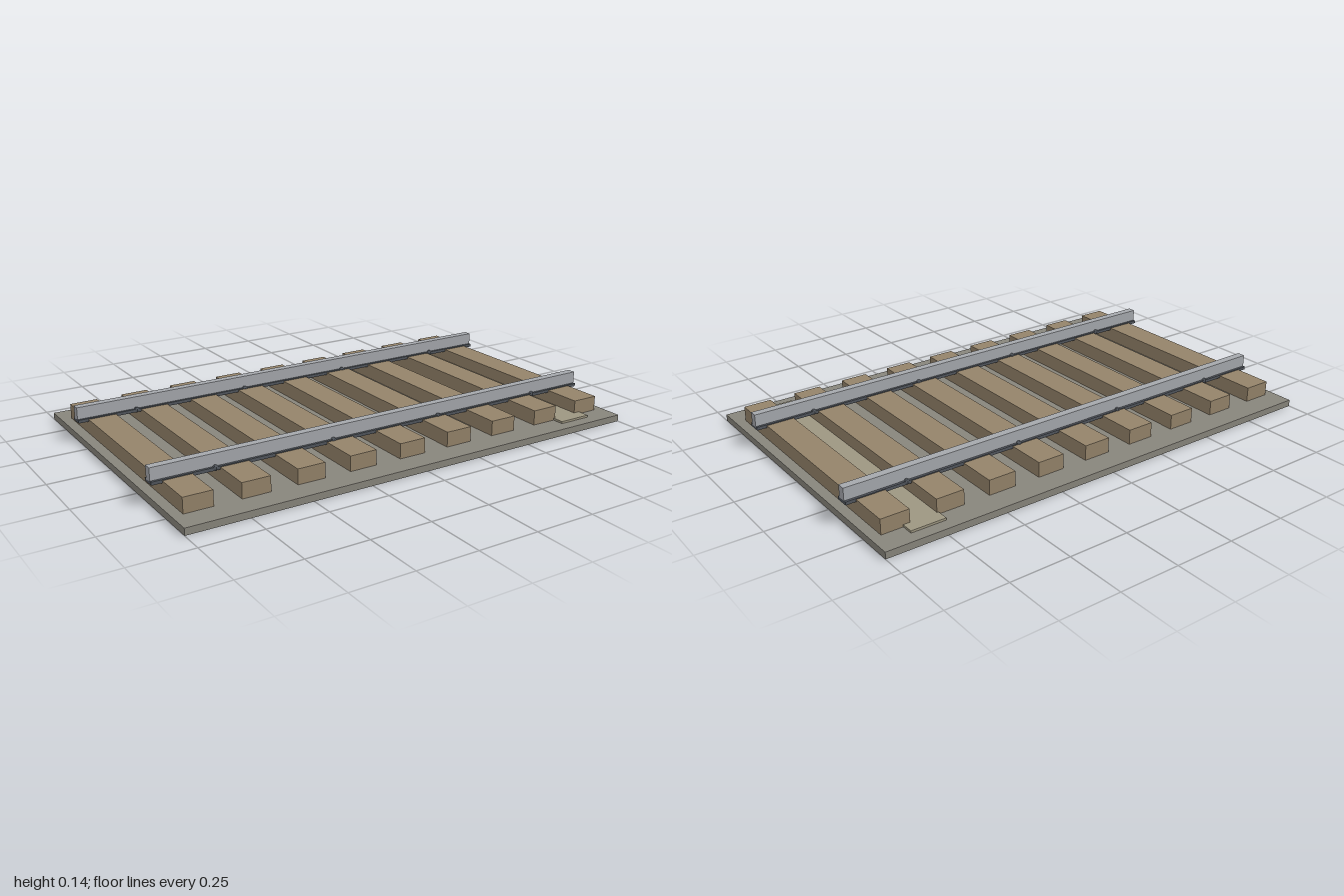
import * as THREE from 'three';

const material = (color) => new THREE.MeshStandardMaterial({ color, flatShading: true });
const bedMaterial = material(0x88857c);
const woodMaterial = material(0x94836a);
const plankMaterial = material(0x9d9681);
const railMaterial = material(0xa5a8ad);
const ironMaterial = material(0x50555c);

// Box resting on height y0 and reaching height y1
function slab(name, width, y0, y1, depth, mat, x = 0, z = 0) {
  const mesh = new THREE.Mesh(new THREE.BoxGeometry(width, y1 - y0, depth), mat);
  mesh.name = name;
  mesh.position.set(x, (y0 + y1) / 2, z);
  return mesh;
}

export function createModel() {
  const track = new THREE.Group();
  track.name = 'railwayTrack';

  // Ballast bed and the thin board lying between two sleepers
  track.add(slab('ballastBed', 2, 0, 0.028, 1.3, bedMaterial));
  track.add(slab('looseBoard', 0.144, 0.026, 0.037, 1.2, plankMaterial, 0.798));

  // Nine evenly spaced sleepers
  for (let i = 0; i < 9; i++) {
    track.add(slab('sleeper', 0.116, 0.026, 0.09, 1.1, woodMaterial, -0.9 + i * 0.225));
  }

  // Two rails, each with a wider foot and pairs of bolts along it
  const boltGeometry = new THREE.SphereGeometry(0.012, 8, 6);
  for (const side of [-1, 1]) {
    const rail = new THREE.Group();
    rail.name = side > 0 ? 'frontRail' : 'backRail';
    rail.position.z = side * 0.36;
    rail.add(slab('railHead', 2, 0.09, 0.144, 0.033, railMaterial));
    rail.add(slab('railFoot', 2, 0.081, 0.094, 0.054, ironMaterial));
    for (const x of [-0.75, -0.25, 0.25, 0.75]) {
      for (const offset of [-0.019, 0.019]) {
        const bolt = new THREE.Mesh(boltGeometry, ironMaterial);
        bolt.name = 'bolt';
        bolt.position.set(x, 0.089, offset);
        rail.add(bolt);
      }
    }
    track.add(rail);
  }
  return track;
}
